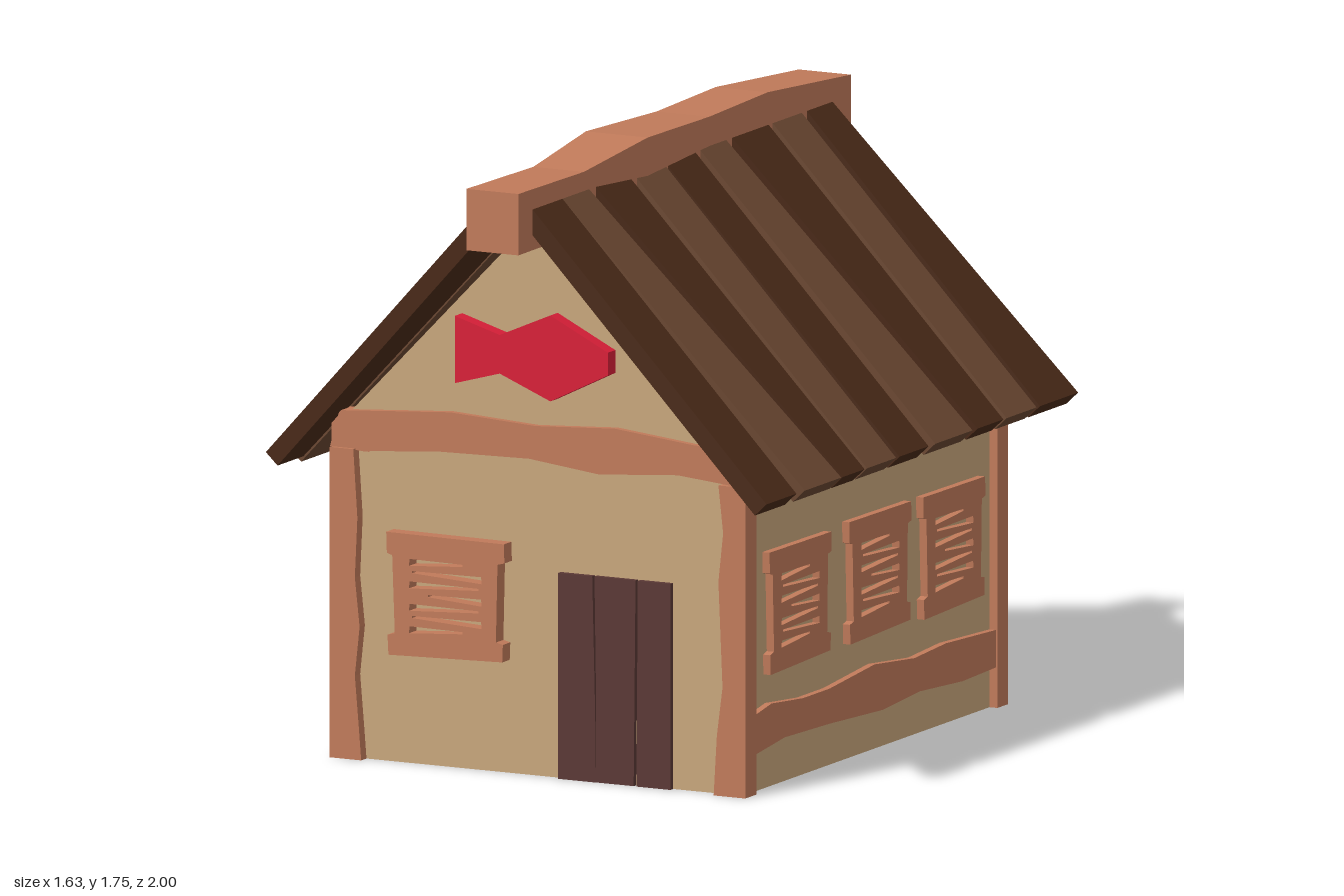
import * as THREE from 'three';

const mat = (color) => new THREE.MeshStandardMaterial({ color, flatShading: true });
const WALL = mat(0xc8a67c), BEAM = mat(0xc07a5a), DARK = mat(0x4a2a18), LIGHT = mat(0x6b4832);
const DOOR = mat(0x5a3835), RED = mat(0xd81f38);

const pts = (list) => list.map(([x, y]) => new THREE.Vector2(x, y));

export function createModel() {
  const house = new THREE.Group();
  house.name = 'house';

  const add = (name, geo, material, parent = house) => {
    const mesh = new THREE.Mesh(geo, material);
    mesh.name = name;
    parent.add(mesh);
    return mesh;
  };
  const box = (name, material, x0, x1, y0, y1, z0, z1) =>
    add(name, new THREE.BoxGeometry(x1 - x0, y1 - y0, z1 - z0), material)
      .position.set((x0 + x1) / 2, (y0 + y1) / 2, (z0 + z1) / 2);
  // Outline in the front plane, extruded from z0 to z1
  const slabZ = (name, material, outline, z0, z1, holes = []) => {
    const shape = new THREE.Shape(pts(outline));
    holes.forEach((h) => shape.holes.push(new THREE.Path(pts(h))));
    const geo = new THREE.ExtrudeGeometry(shape, { depth: z1 - z0, bevelEnabled: false });
    geo.translate(0, 0, z0);
    return add(name, geo, material);
  };
  // Outline in the side plane (first coordinate is -z), extruded from x0 to x1
  const slabX = (name, material, outline, x0, x1, holes) => {
    const mesh = slabZ(name, material, outline, x0, x1, holes);
    mesh.geometry.rotateY(Math.PI / 2);
    return mesh;
  };

  // Walls: gabled front and back, plain sides, open below
  const gable = [[-0.62, 0], [0.645, 0], [0.645, 0.96], [0.01, 1.61], [-0.62, 0.96]];
  slabZ('frontWall', WALL, gable, 0.7, 0.735);
  slabZ('backWall', WALL, gable, -0.785, -0.755);
  box('leftWall', WALL, 0.615, 0.645, 0, 0.95, -0.77, 0.72);
  box('rightWall', WALL, -0.62, -0.59, 0, 0.95, -0.77, 0.72);

  // Corner posts with a rough inner edge
  const postRight = [[-0.645, 0], [-0.545, 0], [-0.553, 0.1], [-0.565, 0.24], [-0.55, 0.38],
    [-0.565, 0.52], [-0.557, 0.69], [-0.57, 0.885], [-0.645, 0.885]];
  const postLeft = [[0.67, 0], [0.67, 0.885], [0.585, 0.885], [0.6, 0.75], [0.585, 0.61],
    [0.598, 0.31], [0.58, 0.17], [0.57, 0]];
  for (const [end, z0, z1] of [['front', 0.7, 0.767], ['back', -0.815, -0.75]]) {
    slabZ(end + 'RightPost', BEAM, postRight, z0, z1);
    slabZ(end + 'LeftPost', BEAM, postLeft, z0, z1);
  }

  // Wavy cross beams under the gables
  const crossBeam = [[-0.65, 0.885], [-0.55, 0.88], [-0.3, 0.9], [-0.02, 0.905], [0.2, 0.88], [0.45, 0.9],
    [0.675, 0.88], [0.675, 0.985], [0.5, 0.99], [0.25, 1.015], [0, 1], [-0.27, 1.015], [-0.62, 0.99]];
  slabZ('frontCrossBeam', BEAM, crossBeam, 0.69, 0.755);
  slabZ('backCrossBeam', BEAM, crossBeam, -0.81, -0.745);

  // Eaves beams and low side beams
  const sideBeam = [[-0.7, 0.112], [-0.52, 0.132], [-0.25, 0.125], [0.07, 0.11], [0.29, 0.125], [0.55, 0.11],
    [0.75, 0.115], [0.75, 0.222], [0.45, 0.235], [0.26, 0.225], [0.02, 0.248], [-0.25, 0.225], [-0.41, 0.225],
    [-0.6, 0.242], [-0.7, 0.225]];
  slabX('leftLowBeam', BEAM, sideBeam, 0.56, 0.665);
  slabX('rightLowBeam', BEAM, sideBeam, -0.648, -0.54);
  box('leftEavesBeam', BEAM, 0.56, 0.675, 0.88, 0.995, -0.775, 0.735);
  box('rightEavesBeam', BEAM, -0.655, -0.535, 0.875, 0.985, -0.775, 0.735);

  // Shutters: a frame with wider top and bottom rails, cut by slanted slits
  const shutter = (cx, cy) => {
    const o = (list) => list.map(([x, y]) => [cx + x, cy + y]);
    const outline = o([[-0.18, -0.175], [0.18, -0.165], [0.182, -0.115], [0.16, -0.11], [0.165, 0.112],
      [0.187, 0.118], [0.185, 0.172], [-0.187, 0.175], [-0.185, 0.115], [-0.168, 0.11],
      [-0.16, -0.112], [-0.183, -0.118]]);
    const slits = [];
    for (let i = 0; i < 7; i++) {
      const y = -0.1 + i * 0.032, s = i % 2 ? 1 : -1, short = i % 3 === 0 ? 0.06 : 0.01;
      slits.push(o([[-s * (0.115 - short), y + 0.004], [s * 0.115, y - 0.008],
        [s * 0.113, y + 0.012], [-s * (0.115 - short), y + 0.01]]));
    }
    return [outline, slits];
  };
  const [frontOutline, frontSlits] = shutter(-0.272, 0.487);
  slabZ('frontShutter', BEAM, frontOutline, 0.73, 0.78, frontSlits);
  for (const [z, y] of [[0.43, 0.5], [-0.05, 0.505], [-0.495, 0.5]]) {
    const [outline, slits] = shutter(-z, y);
    slabX('sideShutter', BEAM, outline, 0.64, 0.668, slits);
  }

  // Door of three boards
  slabZ('doorBoard', DOOR, [[0.07, 0], [0.186, 0], [0.186, 0.25], [0.178, 0.587], [0.07, 0.587]], 0.68, 0.752);
  slabZ('doorBoard', DOOR, [[0.186, 0], [0.308, 0], [0.314, 0.587], [0.184, 0.587], [0.189, 0.25]], 0.68, 0.75);
  slabZ('doorBoard', DOOR, [[0.318, 0], [0.425, 0], [0.425, 0.587], [0.322, 0.587]], 0.68, 0.752);

  // Fish sign on the gable
  slabZ('fishSign', RED, [[-0.242, 1.105], [-0.1, 1.145], [0.06, 1.08], [0.242, 1.17], [0.242, 1.235],
    [0.06, 1.325], [-0.1, 1.255], [-0.242, 1.297]], 0.73, 0.78);

  // Ridge beam: stations of z, right x, left x, top y
  const stations = [[1, -0.09, 0.075, 1.71], [0.6, -0.088, 0.072, 1.705], [0.25, -0.106, 0.09, 1.745],
    [-0.15, -0.092, 0.075, 1.735], [-0.5, -0.09, 0.075, 1.745], [-1, -0.09, 0.075, 1.71]];
  const ridge = new THREE.BoxGeometry(1, 1, 1, 1, 1, 5);
  const rp = ridge.attributes.position;
  for (let i = 0; i < rp.count; i++) {
    const [z, xr, xl, top] = stations[Math.round((0.5 - rp.getZ(i)) * 5)];
    rp.setXYZ(i, rp.getX(i) < 0 ? xr : xl, rp.getY(i) < 0 ? 1.535 : top, z);
  }
  add('ridgeBeam', ridge, BEAM);

  // Roof planks: [z range at the ridge, z range at the eaves], back to front
  const leftPlanks = [[-0.89, -0.735, -0.96, -0.73], [-0.705, -0.53, -0.71, -0.53], [-0.505, -0.285, -0.51, -0.355],
    [-0.25, -0.09, -0.325, -0.1], [-0.06, 0.12, -0.06, 0.115], [0.13, 0.31, 0.135, 0.31],
    [0.34, 0.535, 0.325, 0.455], [0.575, 0.735, 0.465, 0.685], [0.735, 0.915, 0.735, 0.915]];
  const rightPlanks = [[-0.935, -0.755, -0.935, -0.76], [-0.705, -0.485, -0.755, -0.605], [-0.475, -0.34, -0.56, -0.36],
    [-0.33, -0.145, -0.33, -0.15], [-0.14, 0.04, -0.135, 0.045], [0.075, 0.31, 0.07, 0.23],
    [0.345, 0.49, 0.26, 0.49], [0.505, 0.695, 0.51, 0.685], [0.71, 0.94, 0.71, 0.865]];
  const roofSide = (name, planks, side, peak, slope) => {
    const group = new THREE.Group();
    group.name = name;
    house.add(group);
    planks.forEach(([a0, a1, b0, b1], n) => {
      const geo = new THREE.BoxGeometry(1, 1, 1);
      const p = geo.attributes.position;
      const outer = 0.815 - (side < 0 && n === 8 ? 0.02 : 0);
      for (let i = 0; i < p.count; i++) {
        const atEaves = p.getX(i) * side > 0, under = p.getY(i) < 0, toFront = p.getZ(i) > 0;
        const x = atEaves ? outer : 0.075;
        const z = atEaves ? (toFront ? b1 : b0) : (toFront ? a1 : a0);
        p.setXYZ(i, side * (x - (under ? 0.037 : 0)), peak - slope * x - (under ? 0.035 : 0), z);
      }
      add('roofPlank', geo, n % 2 ? LIGHT : DARK, group);
    });
  };
  roofSide('leftRoof', leftPlanks, 1, 1.73, 1.047);
  roofSide('rightRoof', rightPlanks, -1, 1.72, 1.065);

  return house;
}
